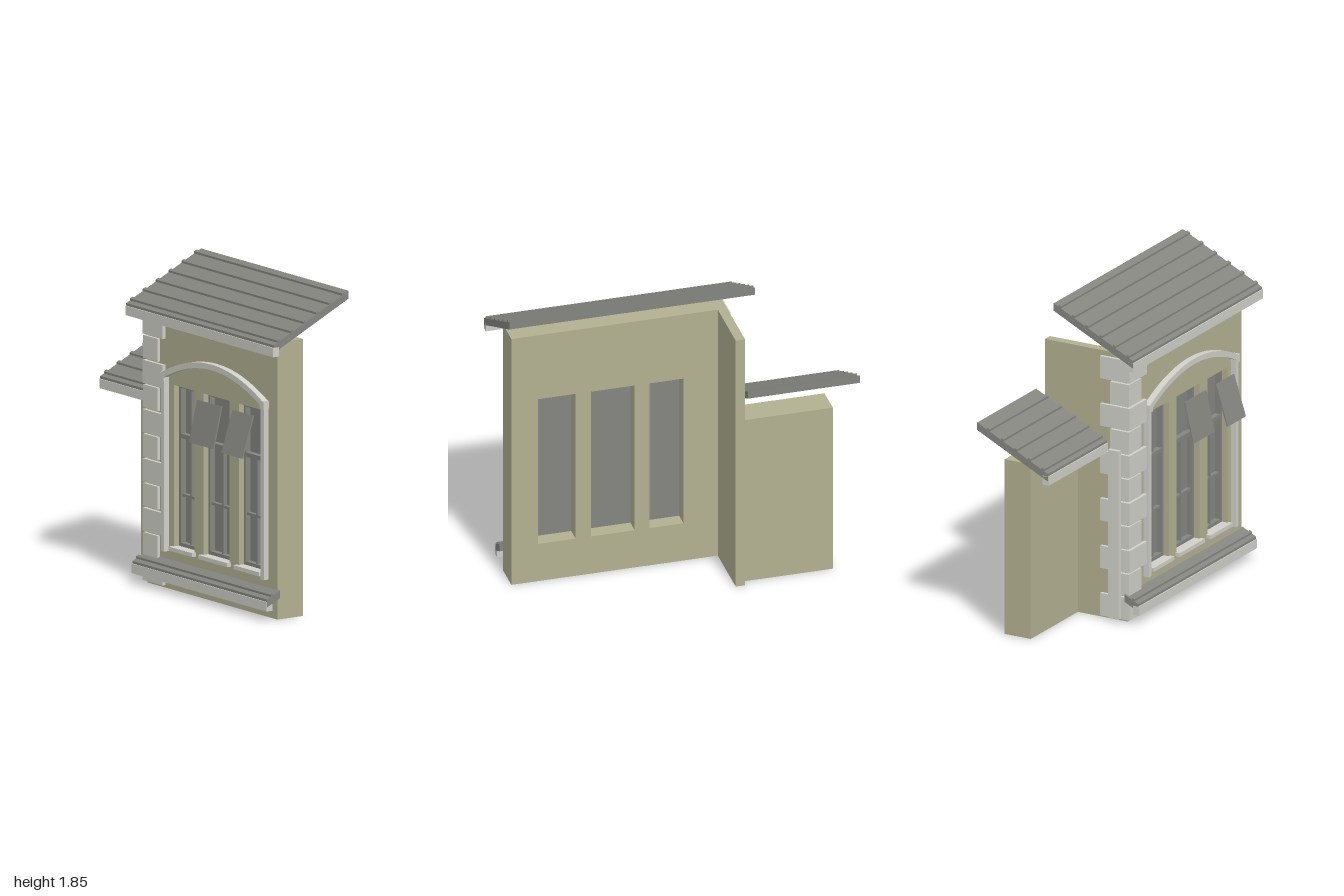
import * as THREE from 'three';

const mat = (name, color) => {
  const m = new THREE.MeshStandardMaterial({ color });
  m.name = name;
  return m;
};

export function createModel() {
  const wall = mat('plaster wall', 0xb2b090);
  const trim = mat('pale stone trim', 0xd0d0c8);
  const grey = mat('roof and window grey', 0x858580);
  const model = new THREE.Group();

  const add = (parent, name, geometry, material) => {
    const mesh = new THREE.Mesh(geometry, material);
    mesh.name = name;
    parent.add(mesh);
    return mesh;
  };
  // Box given by its limits on each axis
  const box = (parent, name, material, x0, x1, y0, y1, z0, z1) => {
    const g = new THREE.BoxGeometry(x1 - x0, y1 - y0, z1 - z0);
    g.translate((x0 + x1) / 2, (y0 + y1) / 2, (z0 + z1) / 2);
    return add(parent, name, g, material);
  };
  const group = (name) => {
    const g = new THREE.Group();
    g.name = name;
    model.add(g);
    return g;
  };

  // Window openings: x limits
  const windows = [[-0.09, 0.11], [0.195, 0.45], [0.54, 0.76]];
  const sill = 0.24, head = 1.175;

  // Main wall with three openings
  const front = new THREE.Shape([[-0.345, 0], [0.915, 0], [0.915, 1.588], [-0.345, 1.588]]
    .map(([x, y]) => new THREE.Vector2(x, y)));
  for (const [a, b] of windows) {
    front.holes.push(new THREE.Path([[a, sill], [a, head], [b, head], [b, sill]]
      .map(([x, y]) => new THREE.Vector2(x, y))));
  }
  const wallGeo = new THREE.ExtrudeGeometry(front, { depth: 0.175, bevelEnabled: false });
  wallGeo.translate(0, 0, 0.06);
  add(model, 'mainWall', wallGeo, wall);
  box(model, 'returnWall', wall, -0.345, -0.29, 0, 1.588, -0.305, 0.06);
  box(model, 'wingWall', wall, -0.87, -0.34, 0, 1.04, -0.26, -0.09);

  // Sloping roof sheet with raised ribs; y is the top edge at the front
  const roof = (name, x0, x1, zFront, zBack, y) => {
    const g = group(name);
    const slope = 0.49, thick = 0.045;
    const top = (z) => y + (zFront - z) * slope;
    const pts = [[zBack, top(zBack) - thick], [zFront, y - thick], [zFront, y]];
    for (let z = zFront - 0.025; z - 0.02 > zBack; z -= 0.0885) {
      pts.push([z, top(z)], [z, top(z) + 0.012],
        [z - 0.016, top(z - 0.016) + 0.012], [z - 0.016, top(z - 0.016)]);
    }
    pts.push([zBack, top(zBack)]);
    const shape = new THREE.Shape(pts.map(([z, h]) => new THREE.Vector2(z, h)));
    const geo = new THREE.ExtrudeGeometry(shape, { depth: x1 - x0, bevelEnabled: false });
    geo.rotateY(-Math.PI / 2);
    geo.translate(x1, 0, 0);
    add(g, name + 'Sheet', geo, grey);
    box(g, name + 'Fascia', trim, x0, x1, y - 0.068, y - 0.014, zFront - 0.035, zFront + 0.006);
  };
  roof('mainRoof', -0.435, 1.0, 0.319, -0.195, 1.596);
  roof('wingRoof', -1.0, -0.345, 0.098, -0.362, 1.056);
  roof('baseLedge', -0.375, 0.935, 0.319, 0.23, 0.128);

  // Corner stones, alternately long and short, wrapping the corner
  const quoins = group('cornerStones');
  for (let i = 0; i < 11; i++) {
    const long = i % 2 === 0;
    const y = 0.015 + i * 0.1412;
    box(quoins, 'cornerStone', trim, -0.365, long ? -0.17 : -0.225,
      y, y + 0.132, long ? 0.065 : 0.13, long ? 0.257 : 0.252);
  }
  box(quoins, 'cornerStrip', trim, -0.39, -0.36, 0.02, 1.02, 0.13, 0.2);

  // Window frames, glazing bars and sills
  windows.forEach(([a, b], i) => {
    const g = group('window' + (i + 1));
    const mid = (a + b) / 2;
    const bar = (name, x0, x1, y0, y1, z1 = 0.19) =>
      box(g, name, grey, x0, x1, y0, y1, 0.165, z1);
    box(g, 'pane', grey, a, b, sill, head, 0.15, 0.166);
    bar('frameSide', a, a + 0.018, sill, head, 0.2);
    bar('frameSide', b - 0.018, b, sill, head, 0.2);
    bar('frameHead', a, b, head - 0.018, head, 0.2);
    bar('frameFoot', a, b, sill, sill + 0.03, 0.2);
    bar('mullion', mid - 0.007, mid + 0.007, sill, i ? 0.88 : head);
    bar('transom', a, b, 0.87, 0.895, 0.2);
    bar('glazingBar', a, b, 0.535, 0.55);
    box(g, 'sill', trim, a - 0.014, b + 0.014, 0.227, 0.25, 0.17, 0.262);
  });

  // Two open top flaps, hinged along their upper edge
  for (const [x0, x1, reach] of [[0.205, 0.44, 0.055], [0.55, 0.75, 0.077]]) {
    const drop = 0.238;
    const length = Math.hypot(drop, reach);
    const geo = new THREE.BoxGeometry(x1 - x0, length, 0.009);
    geo.translate(0, -length / 2, 0);
    const flap = add(model, 'openFlap', geo, grey);
    flap.position.set((x0 + x1) / 2, 1.146, 0.281);
    flap.rotation.x = -Math.atan2(reach, drop);
  }

  // Surround: two slim posts under a shallow arch
  const surround = group('windowSurround');
  for (const [a, b] of [[-0.17, -0.14], [0.8, 0.83]]) {
    box(surround, 'post', trim, a, b, 0.215, 1.2, 0.23, 0.268);
    box(surround, 'postCap', trim, a - 0.004, b + 0.004, 1.195, 1.24, 0.23, 0.274);
  }
  const arch = new THREE.Shape();
  arch.moveTo(-0.165, 1.2);
  arch.quadraticCurveTo(0.33, 1.468, 0.825, 1.2);
  arch.lineTo(0.825, 1.238);
  arch.quadraticCurveTo(0.33, 1.495, -0.165, 1.238);
  const archGeo = new THREE.ExtrudeGeometry(arch, { depth: 0.043, bevelEnabled: false, curveSegments: 20 });
  archGeo.translate(0, 0, 0.23);
  add(surround, 'arch', archGeo, trim);

  return model;
}
